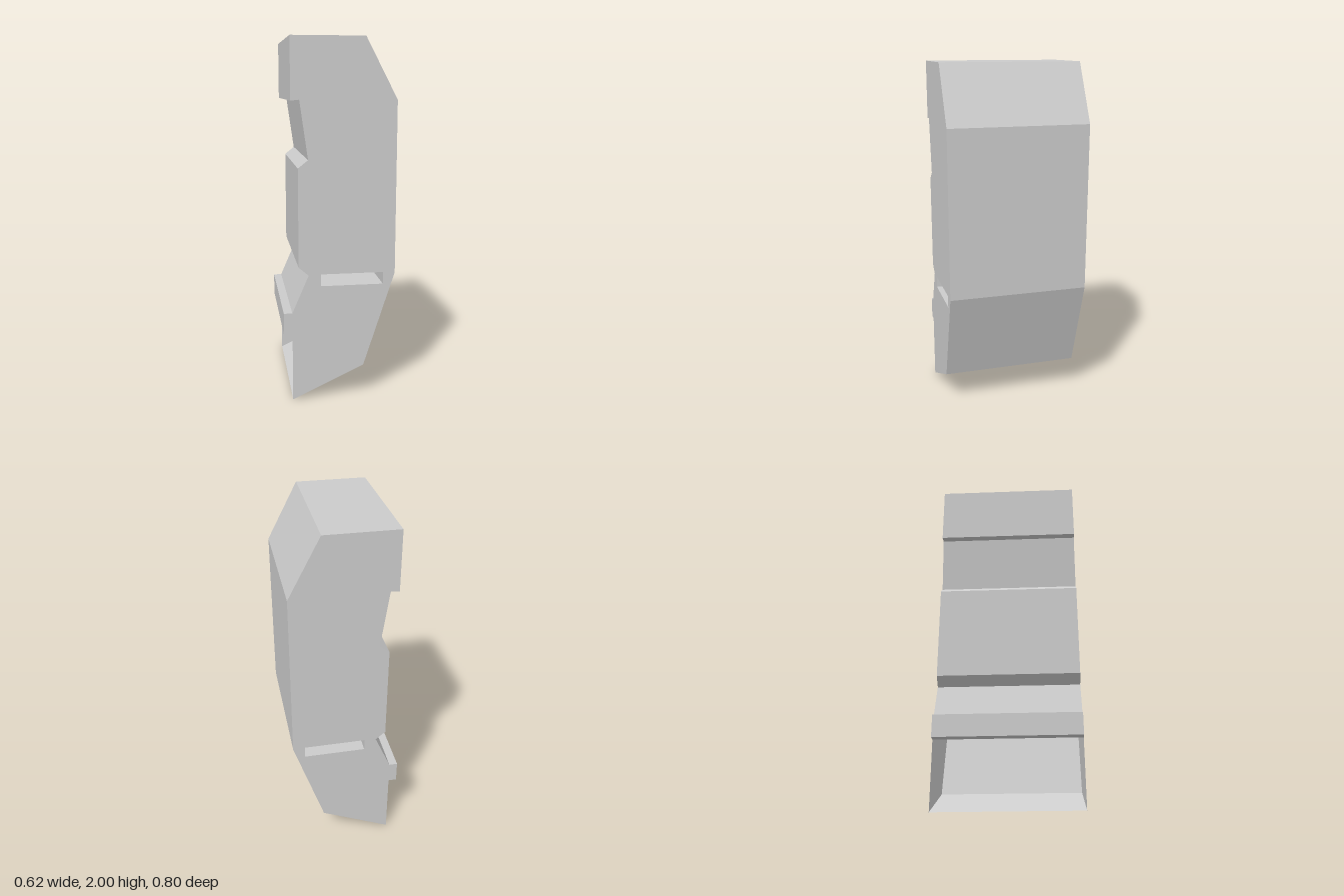
import * as THREE from 'three';

const DEPTH = 0.8;
const BACK_X = -0.265;
const LUG_BOTTOM = 0.383;

// Side profile, counter-clockwise from the lower back corner
const PROFILE = [
  [BACK_X, 0], [0.136, 0.185], [0.31, 0.72], [0.31, 1.67], [0.136, 2], [BACK_X, 2],
  [BACK_X, 1.667], [-0.218, 1.672], [-0.173, 1.355], [-0.228, 1.311], // upper notch
  [-0.228, 0.767], [-0.173, 0.72], [BACK_X, 0.508],                   // lower notch
  [-0.312, 0.508], [-0.312, LUG_BOTTOM], [BACK_X, LUG_BOTTOM],        // lug
];

const SLOT = [[-0.106, 0.657], [-0.106, 0.724], [0.243, 0.724], [0.243, 0.657]];

const toPoints = (list) => list.map(([x, y]) => new THREE.Vector2(x, y));

// Drop the wall triangles that close the back below the lug
function openLowerBack(geometry) {
  const p = geometry.attributes.position;
  const kept = [];
  for (let i = 0; i < p.count; i += 3) {
    const inOpening = [i, i + 1, i + 2].every(
      (v) => Math.abs(p.getX(v) - BACK_X) < 1e-4 && p.getY(v) < LUG_BOTTOM + 1e-3);
    if (inOpening) continue;
    for (let v = i; v < i + 3; v++) kept.push(p.getX(v), p.getY(v), p.getZ(v));
  }
  const open = new THREE.BufferGeometry();
  open.setAttribute('position', new THREE.Float32BufferAttribute(kept, 3));
  open.computeVertexNormals();
  return open;
}

export function createModel() {
  const group = new THREE.Group();
  group.name = 'notchedHousing';

  // Hollow shell with a slot running through it
  const shape = new THREE.Shape(toPoints(PROFILE));
  shape.holes.push(new THREE.Path(toPoints(SLOT)));
  const solid = new THREE.ExtrudeGeometry(shape, { depth: DEPTH, bevelEnabled: false });
  solid.translate(0, 0, -DEPTH / 2);

  const shell = new THREE.Mesh(
    openLowerBack(solid),
    new THREE.MeshStandardMaterial({ color: 0xcccccc, flatShading: true, side: THREE.DoubleSide }));
  shell.name = 'slottedShell';
  group.add(shell);
  return group;
}
